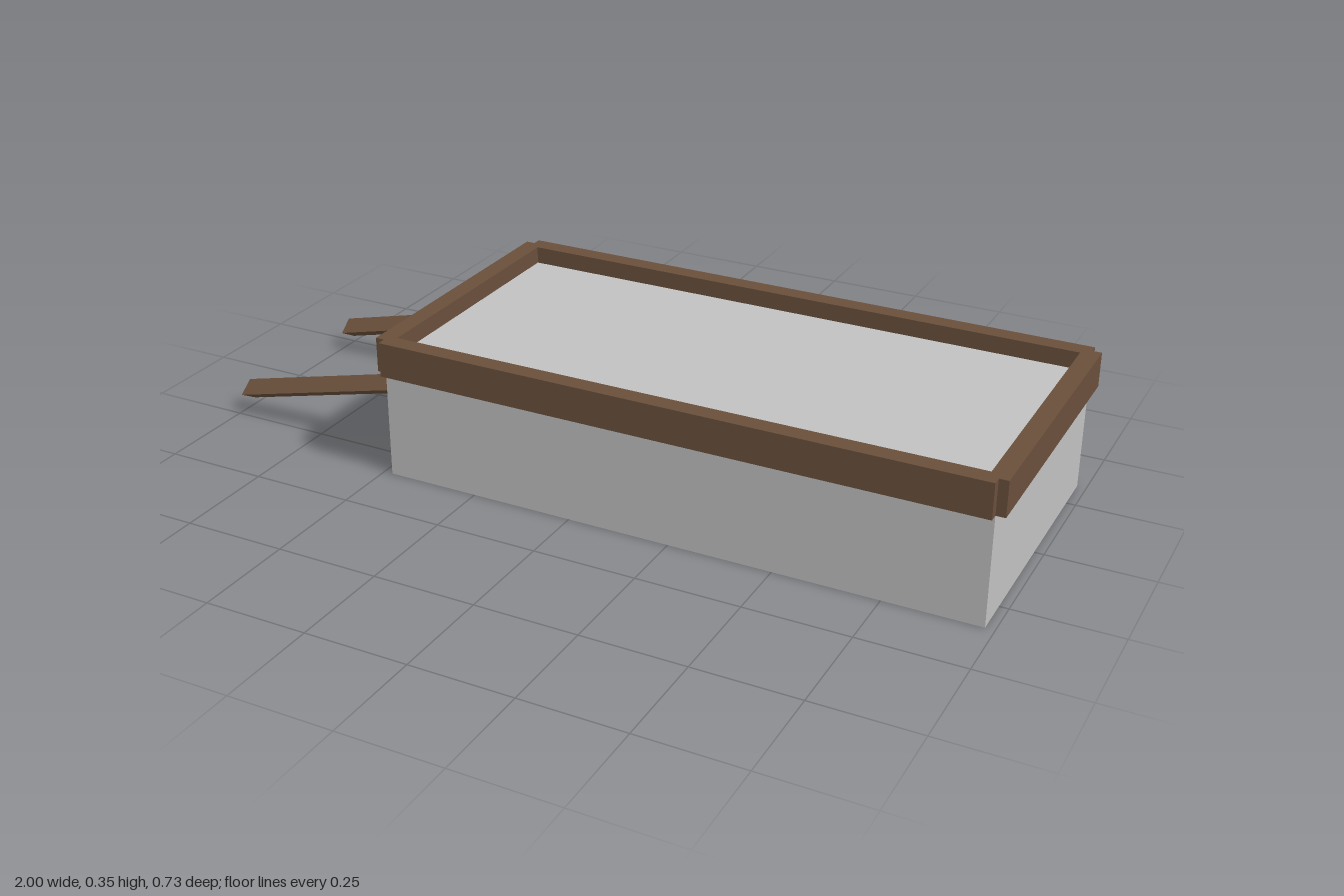
import * as THREE from 'three';

export function createModel() {
  const group = new THREE.Group();
  const stone = new THREE.MeshStandardMaterial({ color: 0xc0c0c0 });
  stone.name = 'pale grey';
  const wood = new THREE.MeshStandardMaterial({ color: 0x694f3b });
  wood.name = 'brown wood';

  const add = (name, geometry, material, x, y, z) => {
    const mesh = new THREE.Mesh(geometry, material);
    mesh.name = name;
    mesh.position.set(x, y, z);
    group.add(mesh);
    return mesh;
  };

  // Solid block, its top sunk below the rim
  const length = 1.456, depth = 0.684, top = 0.305, cx = 0.25;
  add('body', new THREE.BoxGeometry(length, top, depth), stone, cx, top / 2, 0);

  // Rim bars centred on the block's edges, leaving notched corners
  const bar = 0.044, rimHeight = 0.084;
  for (const side of [-1, 1]) {
    add(side > 0 ? 'frontRim' : 'backRim',
      new THREE.BoxGeometry(length, rimHeight, bar), wood, cx, top, side * depth / 2);
    add(side > 0 ? 'leftRim' : 'rightRim',
      new THREE.BoxGeometry(bar, rimHeight, depth), wood, cx + side * length / 2, top, 0);
  }

  // Three-sided handles sloping down from one end, both with an edge towards the front
  const handleLength = 0.55, slope = 0.245;
  const handleShape = new THREE.CylinderGeometry(0.029, 0.029, handleLength, 3).toNonIndexed();
  handleShape.computeVertexNormals();
  for (const side of [-1, 1]) {
    const handle = add(side > 0 ? 'frontHandle' : 'backHandle', handleShape, wood,
      -0.993 + Math.cos(slope) * handleLength / 2,
      0.05 + Math.sin(slope) * handleLength / 2, side * 0.215);
    handle.rotation.z = slope - Math.PI / 2;
  }
  return group;
}
